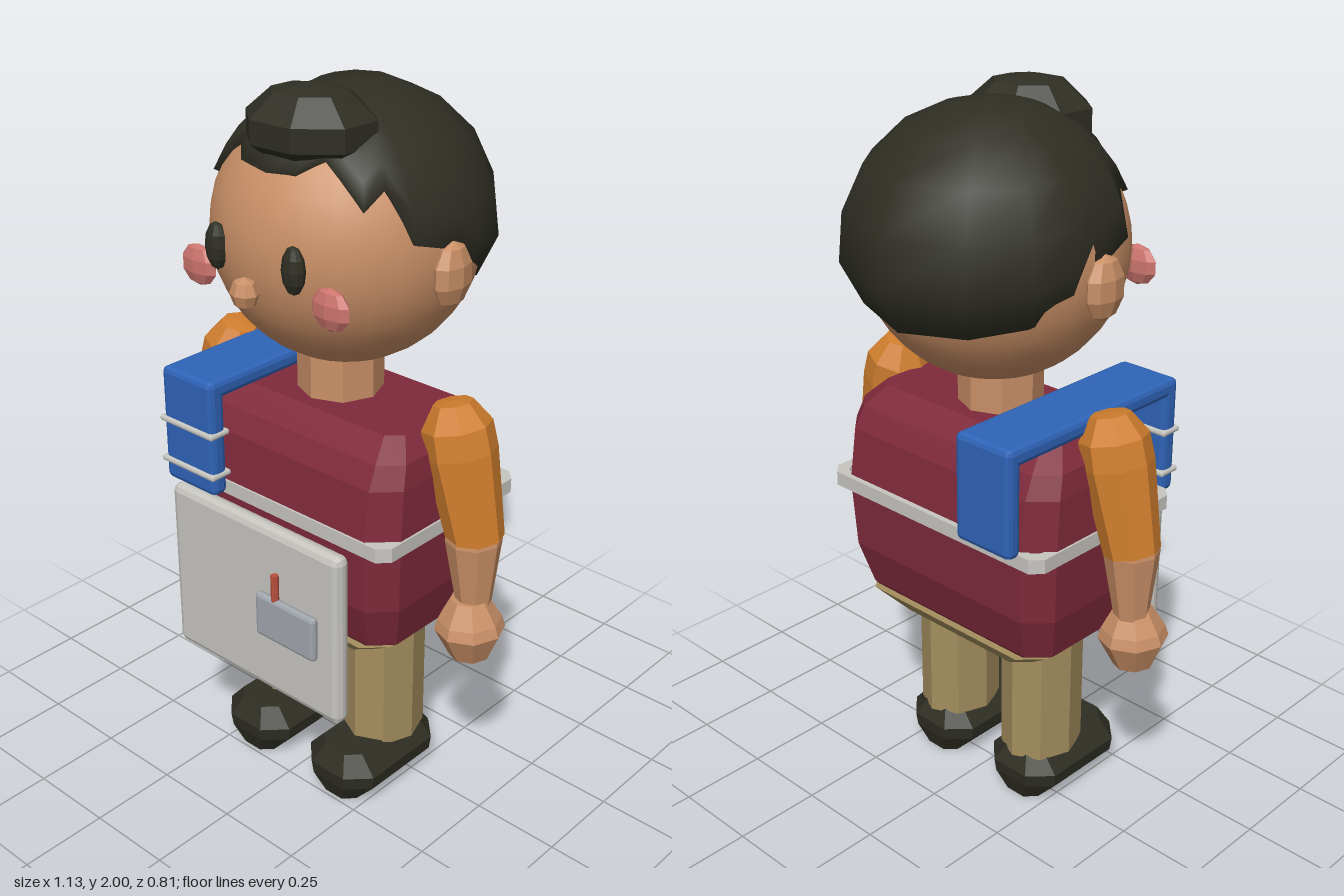
import * as THREE from 'three';
import { RoundedBoxGeometry } from 'three/addons/geometries/RoundedBoxGeometry.js';

const mat = (name, color) => Object.assign(new THREE.MeshStandardMaterial({ color }), { name });

// Faceted copy of a geometry
function facet(g) {
  const f = g.index ? g.toNonIndexed() : g;
  f.computeVertexNormals();
  return f;
}

// Stack of chamfered rectangles: levels are [y, halfX, halfZ], cut is the chamfer share
function loft(levels, cut = 0.25) {
  const rings = levels.map(([y, a, b]) => {
    const c = Math.min(a, b) * cut;
    return [[a, -b + c], [a, b - c], [a - c, b], [-a + c, b], [-a, b - c], [-a, -b + c], [-a + c, -b], [a - c, -b]]
      .map(([x, z]) => [x, y, z]);
  });
  const pos = [];
  const tri = (...p) => p.forEach(v => pos.push(...v));
  const lo = rings[0], hi = rings[rings.length - 1];
  for (let i = 0; i < 8; i++) {
    const j = (i + 1) % 8;
    for (let k = 0; k + 1 < rings.length; k++) {
      const p = rings[k], q = rings[k + 1];
      tri(p[i], q[i], q[j]);
      tri(p[i], q[j], p[j]);
    }
    tri([0, hi[0][1], 0], hi[j], hi[i]);
    tri([0, lo[0][1], 0], lo[i], lo[j]);
  }
  const g = new THREE.BufferGeometry();
  g.setAttribute('position', new THREE.Float32BufferAttribute(pos, 3));
  g.computeVertexNormals();
  return g;
}

const lathe = (pts, sides = 8) =>
  facet(new THREE.LatheGeometry(pts.map(p => new THREE.Vector2(...p)), sides));

const gem = (rx, ry, rz, w = 8, h = 5) => facet(new THREE.SphereGeometry(1, w, h).scale(rx, ry, rz));

const slab = (w, h, d, r) => facet(new RoundedBoxGeometry(w, h, d, 1, r));

// Hair cap: [azimuth from the front, elevation of the hairline] in degrees, mirrored
function hairCap() {
  const half = [[0, 35], [17, 36], [31, 43], [49, 23], [59, 31], [69, 9], [90, 3], [103, -15], [122, -19], [147, -22], [180, -24]];
  const line = [...half, ...half.slice(1, -1).reverse().map(([a, e]) => [360 - a, e])];
  const n = line.length, rows = 6, pos = [], idx = [], R = Math.PI / 180;
  for (let k = 0; k <= rows + 1; k++) {
    for (const [a, e] of line) {
      const t = Math.min(k / rows, 1), el = (90 - (90 - e) * t) * R, az = a * R;
      const back = Math.max(0, -Math.cos(az)) * Math.cos(el);
      const r = k > rows ? 0.32 : 0.358 + 0.012 * Math.sin(Math.max(el, 0)) + 0.05 * back - (e < 0 && k === rows ? 0.03 : 0);
      pos.push(r * Math.sin(az) * Math.cos(el), r * Math.sin(el), r * Math.cos(az) * Math.cos(el));
    }
  }
  for (let k = 0; k <= rows; k++) {
    for (let i = 0; i < n; i++) {
      const j = (i + 1) % n, p = k * n, q = p + n;
      if (k > 0) idx.push(q + i, p + j, p + i);
      idx.push(q + i, q + j, p + j);
    }
  }
  const g = new THREE.BufferGeometry();
  g.setAttribute('position', new THREE.Float32BufferAttribute(pos, 3));
  g.setIndex(idx);
  g.computeVertexNormals();
  // The stacked points at the crown share one upward normal
  for (let i = 0; i < n; i++) g.attributes.normal.setXYZ(i, 0, 1, 0);
  return g;
}

// Closed band around the chest
function bandRing(hx, hz, thick, height) {
  const outline = (P, a, b, c) => {
    P.setFromPoints([[a, -b + c], [a, b - c], [a - c, b], [-a + c, b], [-a, b - c], [-a, -b + c], [-a + c, -b], [a - c, -b]]
      .map(p => new THREE.Vector2(...p)));
    return P;
  };
  const s = outline(new THREE.Shape(), hx, hz, 0.03);
  s.holes.push(outline(new THREE.Path(), hx - thick, hz - thick, 0.02));
  return new THREE.ExtrudeGeometry(s, { depth: height, bevelEnabled: false })
    .translate(0, 0, -height / 2).rotateX(-Math.PI / 2);
}

export function createModel() {
  const skin = mat('skin', 0xc98f66), dark = mat('dark hair', 0x2e2e24), maroon = mat('maroon shirt', 0x7f2a3b);
  const orange = mat('orange sleeve', 0xd07e2e), khaki = mat('khaki trousers', 0xa48e5e), grey = mat('light grey', 0xc6c5c0);
  const blue = mat('blue strap', 0x2f64b8), pink = mat('pink cheek', 0xcc746e);
  const steel = mat('steel pocket', 0xa1a6ad), red = mat('red pen', 0xb8503c);

  const model = new THREE.Group();
  model.name = 'figure';
  const add = (name, geo, m, x = 0, y = 0, z = 0, rz = 0) => {
    const mesh = new THREE.Mesh(geo, m);
    mesh.name = name;
    mesh.position.set(x, y, z);
    mesh.rotation.z = rz;
    model.add(mesh);
    return mesh;
  };
  const Z = 0.025; // body centre line

  // Head
  add('head', new THREE.SphereGeometry(0.35, 28, 20), skin, 0, 1.6, 0);
  add('hair', hairCap(), dark, 0, 1.6, 0);
  const bun = add('hairBun', lathe([[0, -0.1], [0.11, -0.1], [0.168, -0.06], [0.168, 0], [0.1, 0.06], [0, 0.078]]), dark, 0.035, 1.922, 0.165);
  bun.scale.z = 0.8;
  bun.rotation.y = Math.PI / 8;
  add('nose', gem(0.04, 0.042, 0.035, 8, 4), skin, 0, 1.52, 0.367);
  add('neck', facet(new THREE.CylinderGeometry(0.115, 0.115, 0.2, 8)), skin, 0, 1.22, Z);

  // Torso
  add('shirt', loft([[0.53, 0.29, 0.19], [0.57, 0.345, 0.215], [0.7, 0.375, 0.255], [0.9, 0.385, 0.266],
    [1.05, 0.378, 0.245], [1.11, 0.365, 0.215], [1.16, 0.32, 0.15]]), maroon, 0, 0, Z);
  add('hips', loft([[0.49, 0.24, 0.17], [0.56, 0.33, 0.23]]), khaki, 0, 0, Z);
  add('chestBand', bandRing(0.39, 0.275, 0.03, 0.04), grey, 0, 0.896, 0.02);

  // Paired parts
  for (const s of [1, -1]) {
    const side = s > 0 ? 'left' : 'right';
    add(side + 'Ear', gem(0.037, 0.085, 0.066, 8, 5), skin, s * 0.355, 1.56, 0.015);
    add(side + 'Eye', gem(0.034, 0.062, 0.025, 10, 6), dark, s * 0.13, 1.6, 0.331);
    add(side + 'Cheek', gem(0.062, 0.055, 0.025, 8, 5), pink, s * 0.225, 1.52, 0.305);
    add(side + 'Sleeve', lathe([[0, 0], [0.075, 0], [0.095, 0.24], [0.092, 0.31], [0.052, 0.372], [0, 0.376]]),
      orange, s * 0.467, 0.87, Z, s * 0.24);
    add(side + 'Forearm', lathe([[0, -0.2], [0.045, -0.2], [0.075, 0], [0.07, 0.03], [0, 0.03]]),
      skin, s * 0.463, 0.87, 0.028, s * 0.04);
    add(side + 'Hand', lathe([[0, 0], [0.055, 0], [0.094, 0.08], [0.085, 0.11], [0.05, 0.17], [0, 0.17]]),
      skin, s * 0.475, 0.53, 0.04, s * 0.06);
    const leg = add(side + 'Leg', facet(new THREE.CylinderGeometry(0.107, 0.107, 0.38, 8)), khaki, s * 0.163, 0.33, Z);
    leg.scale.z = 1.15;
    add(side + 'Shoe', loft([[0, 0.06, 0.16], [0.06, 0.115, 0.18], [0.1, 0.12, 0.185], [0.155, 0.072, 0.155]], 0.5),
      dark, s * 0.163, 0, 0.078);
  }

  // Board with pocket and pen
  add('board', slab(0.61, 0.505, 0.05, 0.02), grey, 0, 0.637, 0.348);
  add('pocket', slab(0.21, 0.13, 0.024, 0.01), steel, 0.135, 0.633, 0.384);
  add('pen', facet(new THREE.CylinderGeometry(0.011, 0.011, 0.11, 8)), red, 0.095, 0.715, 0.384);

  // Shoulder strap: front panel, bar over the shoulder, back panel
  const sx = -0.248;
  add('strapFront', slab(0.188, 0.33, 0.05, 0.015), blue, sx, 1.055, 0.328);
  add('strapTop', slab(0.188, 0.05, 0.65, 0.015), blue, sx, 1.195, 0.022);
  add('strapBack', slab(0.188, 0.3, 0.045, 0.015), blue, sx, 1.07, -0.283);
  for (const y of [0.95, 1.07]) add('strapRing', slab(0.2, 0.016, 0.068, 0.006), grey, sx, y, 0.328);

  return model;
}
